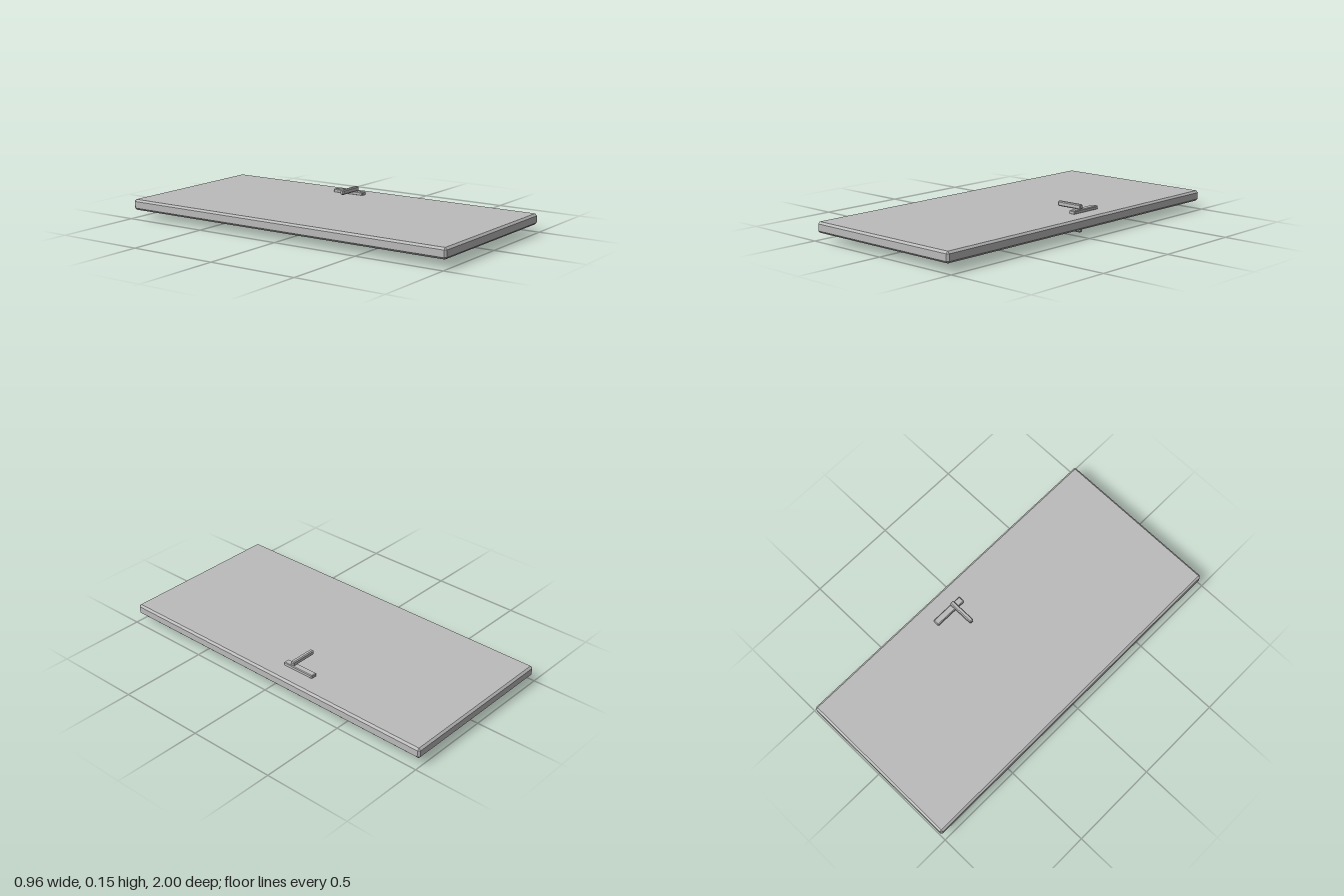
import * as THREE from 'three';
import { ConvexGeometry } from 'three/addons/geometries/ConvexGeometry.js';

const grey = new THREE.MeshStandardMaterial({ color: 0xbbbbbb });
grey.name = 'plain grey';

// Box with every edge chamfered by c, given by its min and max corners
function chamferBox(name, min, max, c) {
  const half = max.map((v, i) => (v - min[i]) / 2);
  const mid = max.map((v, i) => (v + min[i]) / 2);
  const points = [];
  for (const sx of [-1, 1]) for (const sy of [-1, 1]) for (const sz of [-1, 1]) {
    for (let axis = 0; axis < 3; axis++) {
      const p = half.map((h, i) => (i === axis ? h : h - c));
      points.push(new THREE.Vector3(sx * p[0], sy * p[1], sz * p[2]));
    }
  }
  const mesh = new THREE.Mesh(new ConvexGeometry(points), grey);
  mesh.name = name;
  mesh.position.set(...mid);
  return mesh;
}

// Backplate and lever on one face; side is +1 for the top, -1 for the underside
function handle(name, side) {
  const midY = 0.075;
  const span = (a, b) => [midY + side * a, midY + side * b].sort((p, q) => p - q);
  const group = new THREE.Group();
  group.name = name;
  const [p0, p1] = span(0.028, 0.049);
  const [l0, l1] = span(0.048, 0.075);
  group.add(
    chamferBox('backplate', [0.34, p0, -0.218], [0.377, p1, -0.022], 0.004),
    chamferBox('lever', [0.22, l0, -0.092], [0.377, l1, -0.068], 0.005),
  );
  return group;
}

export function createModel() {
  const door = new THREE.Group();
  door.name = 'door';

  // Door leaf lying flat
  door.add(chamferBox('doorLeaf', [-0.478, 0.047, -1], [0.478, 0.106, 1], 0.011));

  // Slightly raised panel on the underside
  const panel = new THREE.Mesh(new THREE.BoxGeometry(0.82, 0.012, 1.74), grey);
  panel.name = 'raisedPanel';
  panel.position.y = 0.048;
  door.add(panel);

  // Handles on both faces
  door.add(handle('topHandle', 1), handle('bottomHandle', -1));
  return door;
}
